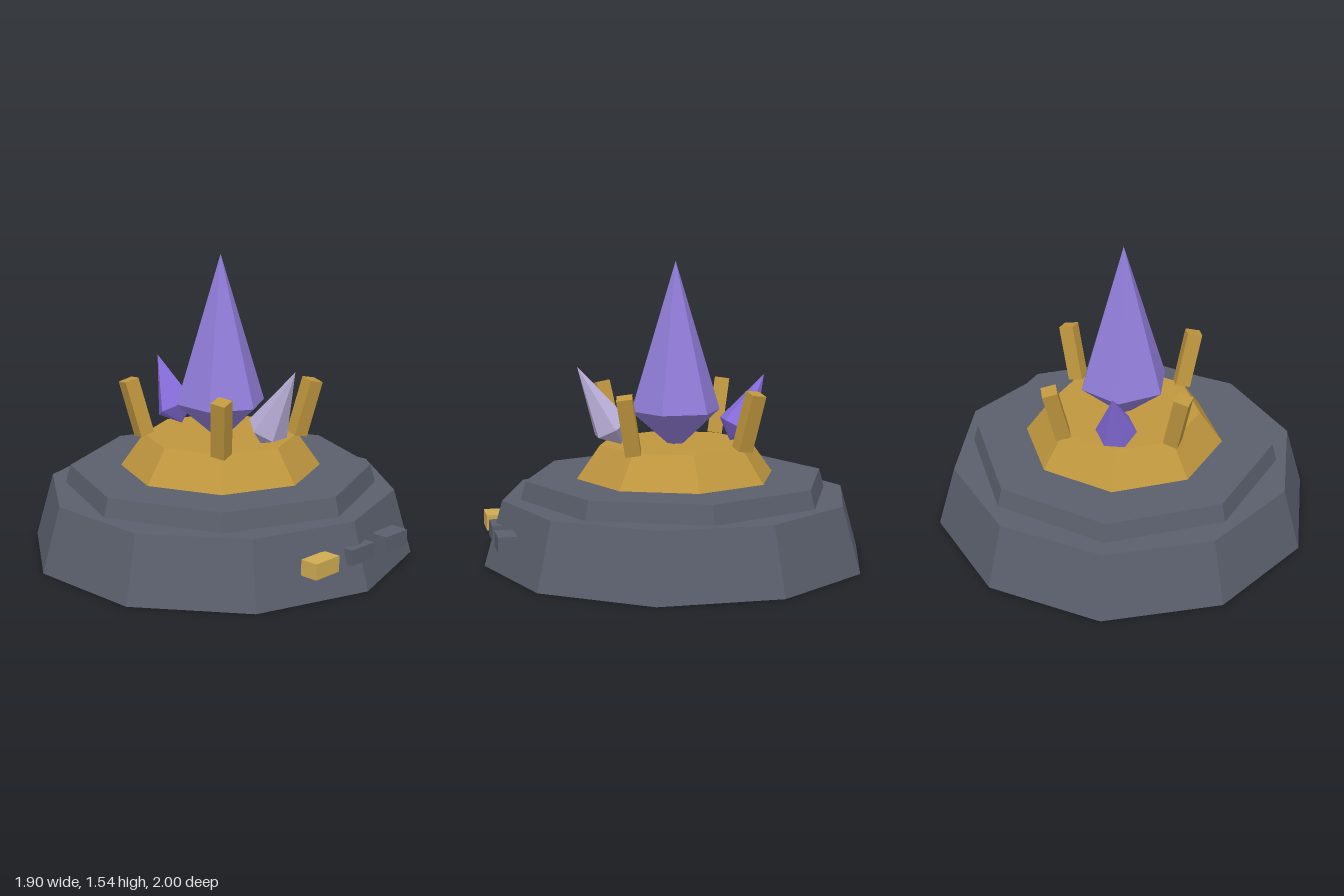
import * as THREE from 'three';

const material = (name, color) => {
  const m = new THREE.MeshStandardMaterial({ color, flatShading: true });
  m.name = name;
  return m;
};

export function createModel() {
  const model = new THREE.Group();
  model.name = 'crystalPedestal';

  const slate = material('slate', 0x5a5f6c);
  const gold = material('gold', 0xc0973f);
  const paleGold = material('paleGold', 0xd0ab52);
  const violet = material('violet', 0x917dda);
  const deepViolet = material('deepViolet', 0x876cdb);
  const lavender = material('lavender', 0xbcb0da);

  const add = (name, geometry, mat, x = 0, y = 0, z = 0) => {
    const mesh = new THREE.Mesh(geometry, mat);
    mesh.name = name;
    mesh.position.set(x, y, z);
    model.add(mesh);
    return mesh;
  };

  // Stacked tapering tiers
  const tier = (name, bottomRadius, topRadius, y0, y1, sides, mat) =>
    add(name, new THREE.CylinderGeometry(topRadius, bottomRadius, y1 - y0, sides), mat, 0, (y0 + y1) / 2, 0);
  tier('base', 1, 0.905, 0, 0.335, 10, slate);
  tier('step', 0.81, 0.785, 0.335, 0.43, 8, slate);
  tier('goldCollar', 0.52, 0.4, 0.43, 0.6, 8, gold);

  // Six-sided crystals, origin at the widest ring
  const crystal = (radius, up, down) => new THREE.LatheGeometry(
    [new THREE.Vector2(0, -down), new THREE.Vector2(radius, 0), new THREE.Vector2(0, up)], 6);
  add('mainCrystal', crystal(0.235, 0.77, 0.21), violet, 0, 0.77, 0);

  const front = add('frontCrystal', crystal(0.105, 0.367, 0.1).rotateY(Math.PI / 6), lavender, 0, 0.69, 0.335);
  front.rotation.x = 0.51;
  const back = add('backCrystal', crystal(0.105, 0.306, 0.084).rotateY(Math.PI / 6), deepViolet, 0, 0.675, -0.33);
  back.rotation.x = -0.49;

  // Four prongs leaning outward around the main crystal
  const up = new THREE.Vector3(0, 1, 0);
  for (const sx of [-1, 1]) {
    for (const sz of [-1, 1]) {
      const prong = add('prong', new THREE.BoxGeometry(0.078, 0.3, 0.078), gold, sx * 0.308, 0.743, sz * 0.308);
      const lean = new THREE.Vector3(sx * 0.19, 1, sz * 0.19).normalize();
      const yaw = new THREE.Quaternion().setFromAxisAngle(up, -sx * sz * 0.24);
      prong.quaternion.setFromUnitVectors(up, lean).multiply(yaw);
    }
  }

  // Row of blocks set into the front of the base
  [-0.262, 0, 0.262].forEach((x, i) =>
    add(i ? 'slateBlock' : 'goldBlock', new THREE.BoxGeometry(0.165, 0.08, 0.095), i ? slate : paleGold, x, 0.182, 0.918));

  return model;
}
